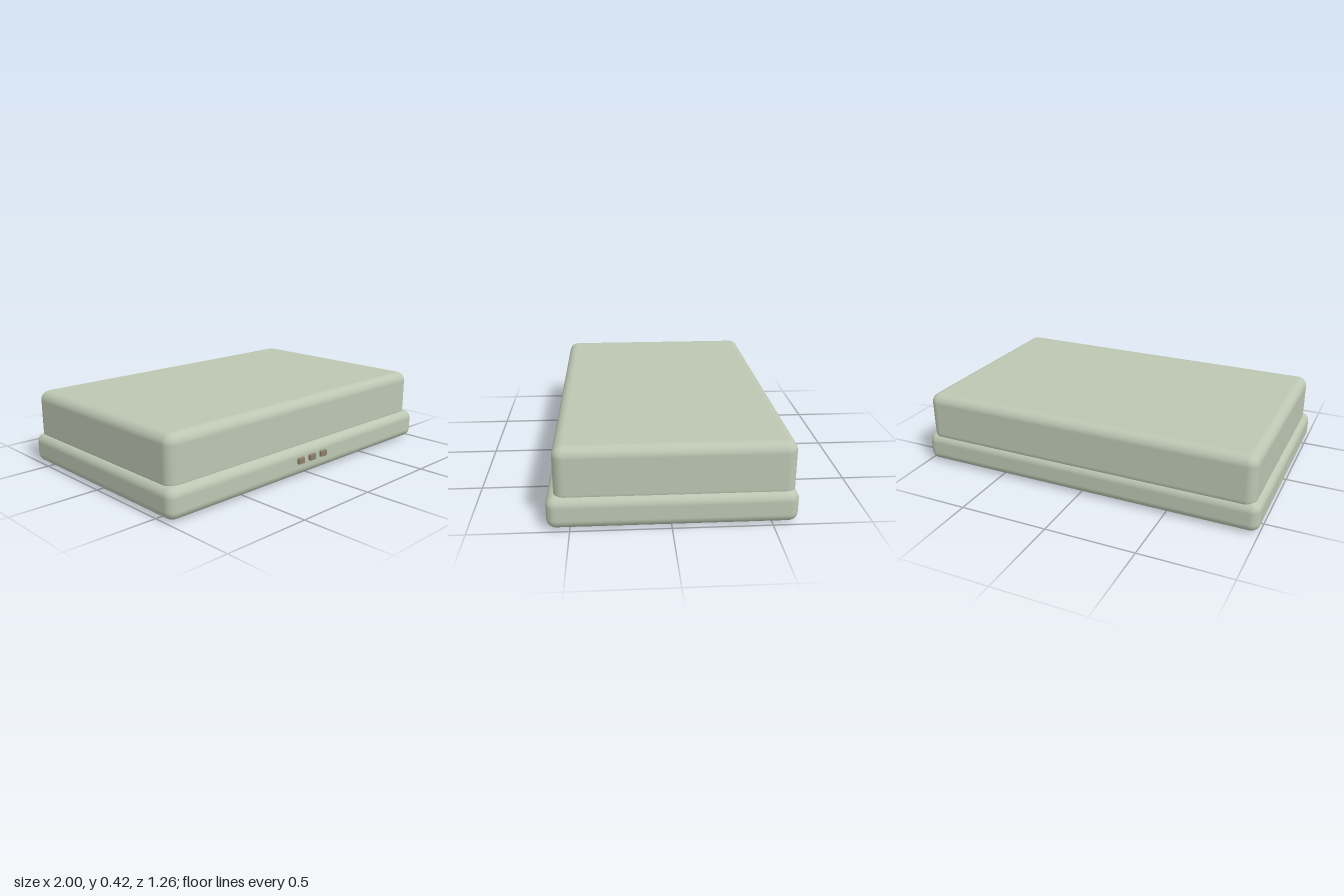
import * as THREE from 'three';
import { RoundedBoxGeometry } from 'three/addons/geometries/RoundedBoxGeometry.js';

const shell = new THREE.MeshStandardMaterial({ color: 0xbcc6b2 });
const buttonMat = new THREE.MeshStandardMaterial({ color: 0x8c7f6c });
const slotMat = new THREE.MeshStandardMaterial({ color: 0x262626 });

// Rounded box spanning the given [min, max] ranges
function roundedPart(name, [x0, x1], [y0, y1], [z0, z1], radius, material, segments = 5) {
  const geometry = new RoundedBoxGeometry(x1 - x0, y1 - y0, z1 - z0, segments, radius);
  const mesh = new THREE.Mesh(geometry, material);
  mesh.name = name;
  mesh.position.set((x0 + x1) / 2, (y0 + y1) / 2, (z0 + z1) / 2);
  return mesh;
}

export function createModel() {
  const model = new THREE.Group();
  model.name = 'case';

  // Wide lower tray and the taller, slightly set-back cover
  model.add(roundedPart('base', [-1, 1], [0.005, 0.172], [-0.63, 0.615], 0.05, shell));
  model.add(roundedPart('cover', [-0.97, 0.97], [0.125, 0.422], [-0.617, 0.577], 0.055, shell));

  // Three small buttons on the front edge
  const buttons = new THREE.Group();
  buttons.name = 'buttons';
  for (const x of [-0.093, 0, 0.093]) {
    buttons.add(roundedPart('button', [x - 0.025, x + 0.025], [0.082, 0.116], [0.6, 0.63], 0.005, buttonMat, 2));
  }
  model.add(buttons);

  // Two banks of five ventilation slots underneath
  const vents = new THREE.Group();
  vents.name = 'vents';
  for (const side of [-1, 1]) {
    for (let i = 0; i < 5; i++) {
      const slot = new THREE.Mesh(new THREE.BoxGeometry(0.6, 0.012, 0.018), slotMat);
      slot.name = 'ventSlot';
      slot.position.set(side * 0.48, 0.006, 0.255 - i * 0.125);
      vents.add(slot);
    }
  }
  model.add(vents);

  return model;
}
